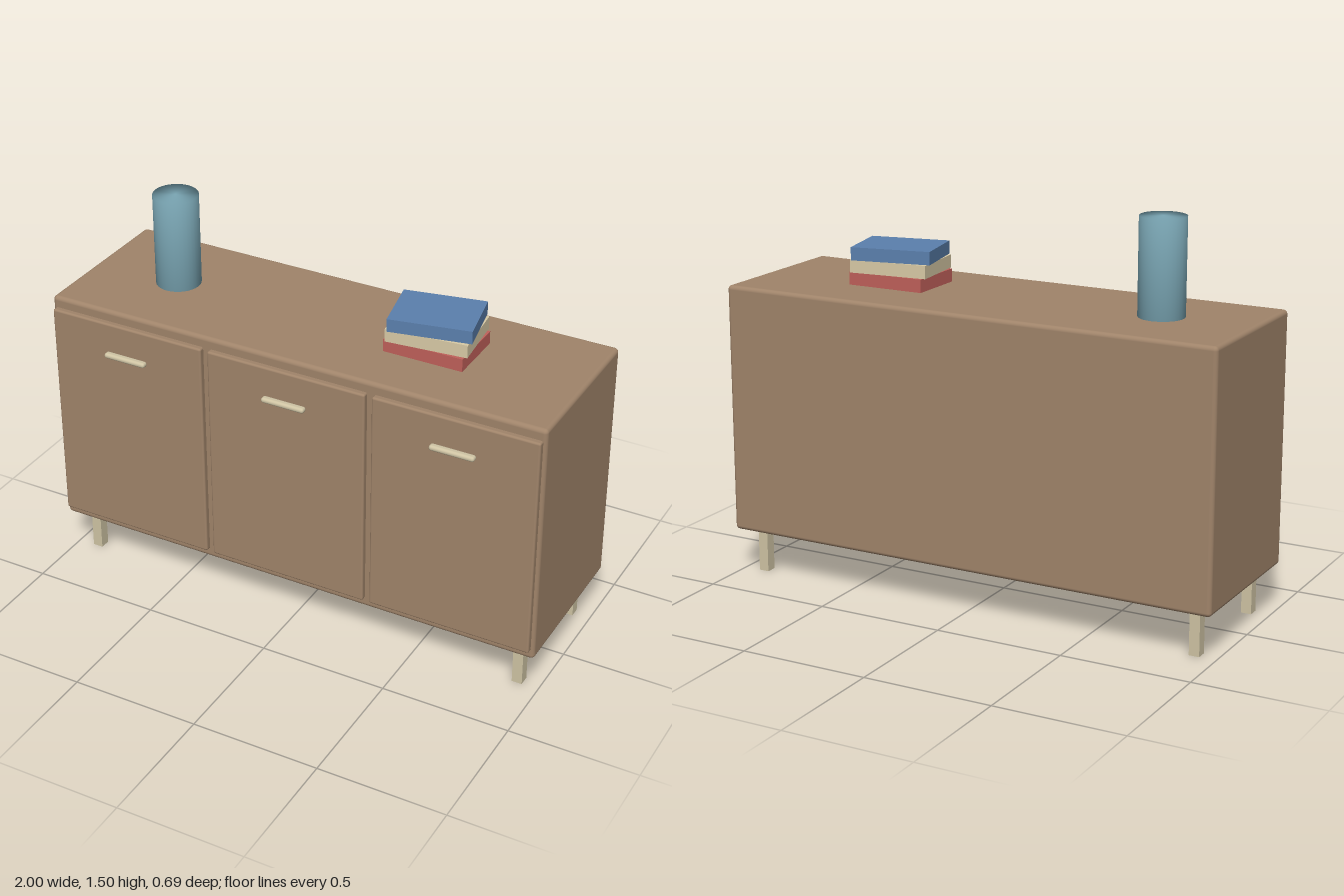
import * as THREE from 'three';
import { RoundedBoxGeometry } from 'three/addons/geometries/RoundedBoxGeometry.js';

const MID_Z = -0.022; // middle of the cabinet body, front to back
const TOP_Y = 1.143;

const paint = (color) => new THREE.MeshStandardMaterial({ color });

export function createModel() {
  const model = new THREE.Group();
  const wood = paint(0xa0846a);
  const cream = paint(0xcfc4a4);

  const add = (name, geometry, material, x, y, z) => {
    const mesh = new THREE.Mesh(geometry, material);
    mesh.name = name;
    mesh.position.set(x, y, z);
    model.add(mesh);
    return mesh;
  };

  // Cabinet body with softened edges
  add('cabinetBody', new RoundedBoxGeometry(2, 0.966, 0.644, 4, 0.016), wood, 0, 0.66, MID_Z);

  // Three doors, each with a bar handle
  const doorGeo = new RoundedBoxGeometry(0.64, 0.884, 0.032, 3, 0.008);
  const handleGeo = new RoundedBoxGeometry(0.174, 0.021, 0.028, 4, 0.01);
  ['right', 'middle', 'left'].forEach((side, i) => {
    const x = (i - 1) * 0.667;
    add(`${side}Door`, doorGeo, wood, x, 0.658, 0.306);
    add(`${side}DoorHandle`, handleGeo, cream, x, 0.975, 0.331);
  });

  // Four square legs
  const legGeo = new THREE.BoxGeometry(0.04, 0.18, 0.042);
  for (const sx of [-1, 1]) {
    for (const sz of [-1, 1]) {
      const name = (sz > 0 ? 'front' : 'back') + (sx > 0 ? 'Left' : 'Right') + 'Leg';
      add(name, legGeo, cream, sx * 0.915, 0.09, MID_Z + sz * 0.237);
    }
  }

  // Closed round vase
  const vaseProfile = [[0, 0], [0.086, 0], [0.086, 0.362], [0, 0.362]]
    .map(([r, y]) => new THREE.Vector2(r, y));
  add('vase', new THREE.LatheGeometry(vaseProfile, 32), paint(0x7ba7b5), -0.647, TOP_Y, MID_Z);

  // Stack of books, each turned a little further
  const bookGeo = new THREE.BoxGeometry(0.31, 0.05, 0.23);
  [['bottomBook', 0xc0605a], ['middleBook', 0xd8caa6], ['topBook', 0x5b80ad]].forEach(([name, color], i) => {
    const book = add(name, bookGeo, paint(color), 0.43, TOP_Y + 0.032 + i * 0.05, MID_Z);
    book.rotation.y = i * 0.1;
  });

  return model;
}
